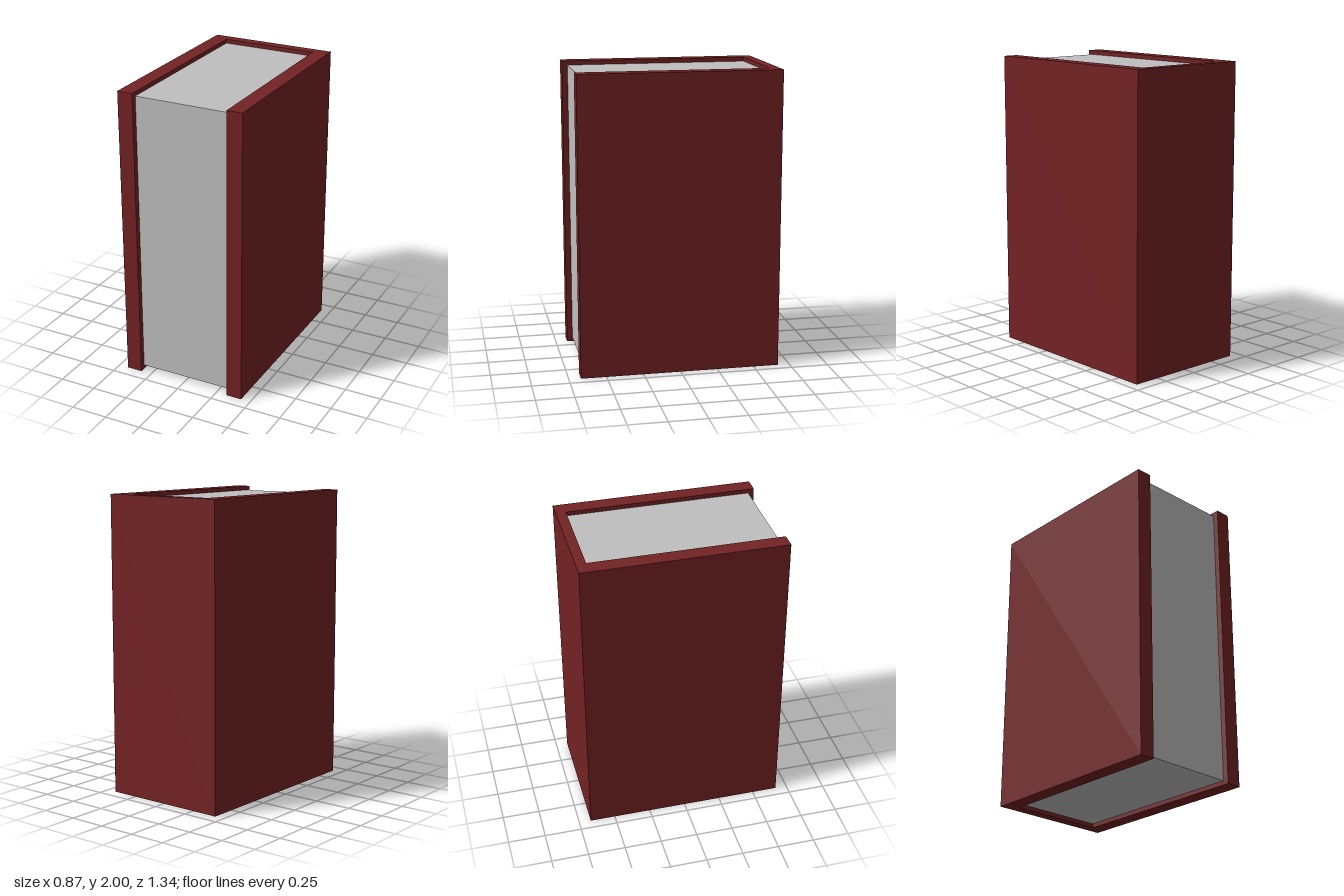
import * as THREE from 'three';

export function createModel() {
  const group = new THREE.Group();
  const coverRed = new THREE.MeshStandardMaterial({ color: 0x732224 });
  coverRed.name = 'coverRed';
  const pageGrey = new THREE.MeshStandardMaterial({ color: 0xbfbfbf });
  pageGrey.name = 'pageGrey';

  const height = 2, outerX = 0.433, innerX = 0.327, edgeZ = 0.67, spineZ = -0.603;

  // Cover: two boards and a spine as one U-shaped section, extruded upwards
  const outline = [
    [-outerX, edgeZ], [-innerX, edgeZ], [-innerX, spineZ], [innerX, spineZ],
    [innerX, edgeZ], [outerX, edgeZ], [outerX, -edgeZ], [-outerX, -edgeZ],
  ].map(([x, z]) => new THREE.Vector2(x, -z));
  const coverGeometry = new THREE.ExtrudeGeometry(new THREE.Shape(outline), { depth: height, bevelEnabled: false });
  coverGeometry.rotateX(-Math.PI / 2);
  const cover = new THREE.Mesh(coverGeometry, coverRed);
  cover.name = 'cover';
  group.add(cover);

  // Page block: set back from the top, bottom and front edges of the cover
  const pageFront = 0.632, inset = 0.028;
  const pages = new THREE.Mesh(
    new THREE.BoxGeometry(innerX * 2, height - inset * 2, pageFront - spineZ), pageGrey);
  pages.position.set(0, height / 2, (pageFront + spineZ) / 2);
  pages.name = 'pages';
  group.add(pages);

  return group;
}
